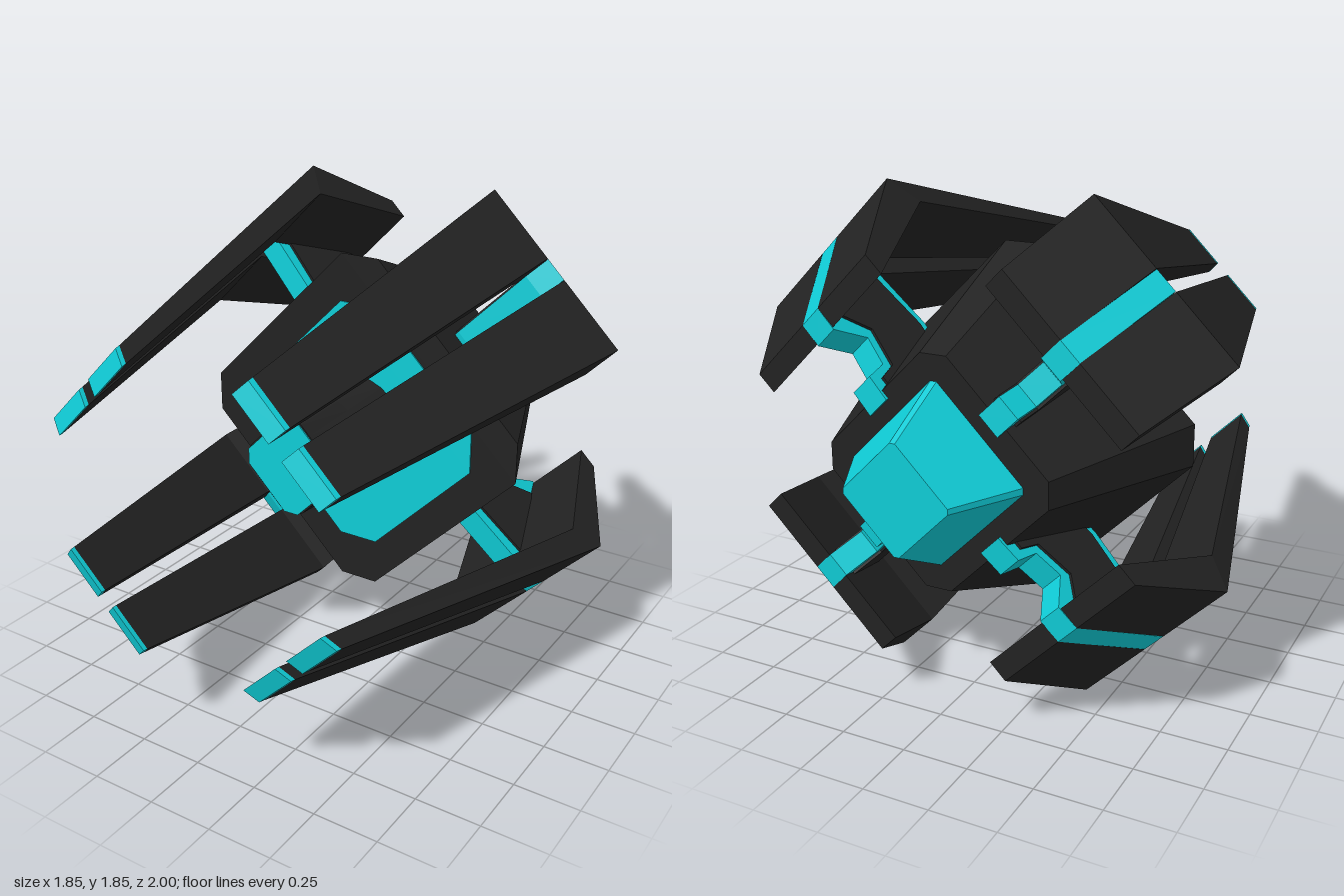
import * as THREE from 'three';

const dark = new THREE.MeshStandardMaterial({ color: 0x222222, flatShading: true });
const teal = new THREE.MeshStandardMaterial({ color: 0x0fcbd5, flatShading: true });

// Skin between rings of [x, y, z] points, ordered back to front, each counter-clockwise seen from +z
function loft(rings) {
  const out = [];
  const n = rings[0].length;
  for (let r = 0; r < rings.length - 1; r++) {
    const a = rings[r], b = rings[r + 1];
    for (let i = 0; i < n; i++) {
      const j = (i + 1) % n;
      out.push(a[i], a[j], b[j], a[i], b[j], b[i]);
    }
  }
  const back = rings[0], front = rings[rings.length - 1];
  for (let i = 1; i < n - 1; i++) {
    out.push(front[0], front[i], front[i + 1], back[0], back[i + 1], back[i]);
  }
  const geo = new THREE.BufferGeometry();
  geo.setAttribute('position', new THREE.Float32BufferAttribute(out.flat(), 3));
  geo.computeVertexNormals();
  return geo;
}

// Diamond with cut corners: reach r along the axes, corner flats of half width f
function diamond(r, f, z) {
  return [[r, -f], [r, f], [f, r], [-f, r], [-r, f], [-r, -f], [-f, -r], [f, -r]].map(([x, y]) => [x, y, z]);
}

function add(parent, name, geo, mat) {
  const mesh = new THREE.Mesh(geo, mat);
  mesh.name = name;
  parent.add(mesh);
  return mesh;
}

// Prong cross-section in the arm frame (x radial, y sideways), s picks the side
function section(s, uIn, uOut, v1, v2, zIn, zOut) {
  const pts = [[uOut, s * v1, zOut], [uOut, s * v2, zOut], [uIn, s * v2, zIn], [uIn, s * v1, zIn]];
  return s > 0 ? pts : pts.reverse();
}

// Radial slab from a (radius, z) outline, w wide
function slab(outline, w) {
  const shape = new THREE.Shape(outline.map(([u, z]) => new THREE.Vector2(u, z)));
  const geo = new THREE.ExtrudeGeometry(shape, { depth: w, bevelEnabled: false });
  return geo.rotateX(Math.PI / 2).translate(0, w / 2, 0);
}

function createArm() {
  const arm = new THREE.Group();
  arm.name = 'arm';
  for (const s of [1, -1]) {
    const tipBack = section(s, 0.536, 0.602, 0.033, 0.224, 0.98, 0.955);
    const tipFront = section(s, 0.533, 0.598, 0.033, 0.222, 1.0, 0.975);
    add(arm, 'prong', loft([
      section(s, 0.613, 0.697, 0.047, 0.337, -0.73, -0.73),
      section(s, 0.815, 0.938, 0.05, 0.37, -0.28, -0.36),
      tipBack,
    ]), dark);
    add(arm, 'prongTip', loft([tipBack, tipFront]), teal);
  }
  // Coloured spine between the prongs, stepping down to the hull
  add(arm, 'spine', slab([
    [0.3, -0.755], [0.4, -0.745], [0.42, -0.64], [0.53, -0.61], [0.605, -0.735],
    [0.697, -0.73], [0.938, -0.36], [0.85, -0.31], [0.5, -0.27], [0.3, -0.3],
  ], 0.096), teal);
  // Dark web on both sides of the spine
  add(arm, 'web', slab([
    [0.3, -0.7], [0.375, -0.7], [0.4, -0.61], [0.55, -0.57], [0.64, -0.66],
    [0.84, -0.36], [0.5, -0.31], [0.3, -0.34],
  ], 0.116), dark);
  return arm;
}

export function createModel() {
  const model = new THREE.Group();
  const craft = new THREE.Group();
  craft.name = 'craft';
  craft.position.y = 0.926;
  model.add(craft);

  // Hull tapering to the back, with a coloured front panel
  add(craft, 'hull', loft([diamond(0.425, 0.05, -0.74), diamond(0.683, 0.08, -0.07)]), dark);
  add(craft, 'frontPanel', loft([diamond(0.495, 0.083, -0.09), diamond(0.495, 0.083, -0.065)]), teal);

  // Rear engine block
  add(craft, 'engine', loft([diamond(0.198, 0.01, -1), diamond(0.335, 0.012, -0.735)]), teal);

  // Nose barrel, round at the root and diamond-shaped at the mouth
  const sides = 24;
  const barrelRing = (t) => {
    const ring = [];
    for (let i = 0; i < sides; i++) {
      const a = (i / sides) * Math.PI * 2;
      const c = Math.cos(a), s = Math.sin(a);
      const mouth = Math.min(0.19 / Math.max(Math.abs(c), Math.abs(s)), 0.225 / (Math.abs(c) + Math.abs(s)));
      const r = THREE.MathUtils.lerp(0.208, mouth, t);
      ring.push([c * r, s * r, THREE.MathUtils.lerp(-0.08, 0.395, t)]);
    }
    return ring;
  };
  add(craft, 'barrel', loft([0, 0.5, 1].map(barrelRing)), dark);
  add(craft, 'barrelMouth', loft([diamond(0.187, 0.03, 0.38), diamond(0.187, 0.03, 0.4)]), teal);

  // Four arms on the diagonals
  for (let k = 0; k < 4; k++) {
    const arm = createArm();
    arm.rotation.z = Math.PI / 4 + (k * Math.PI) / 2;
    craft.add(arm);
  }
  return model;
}
